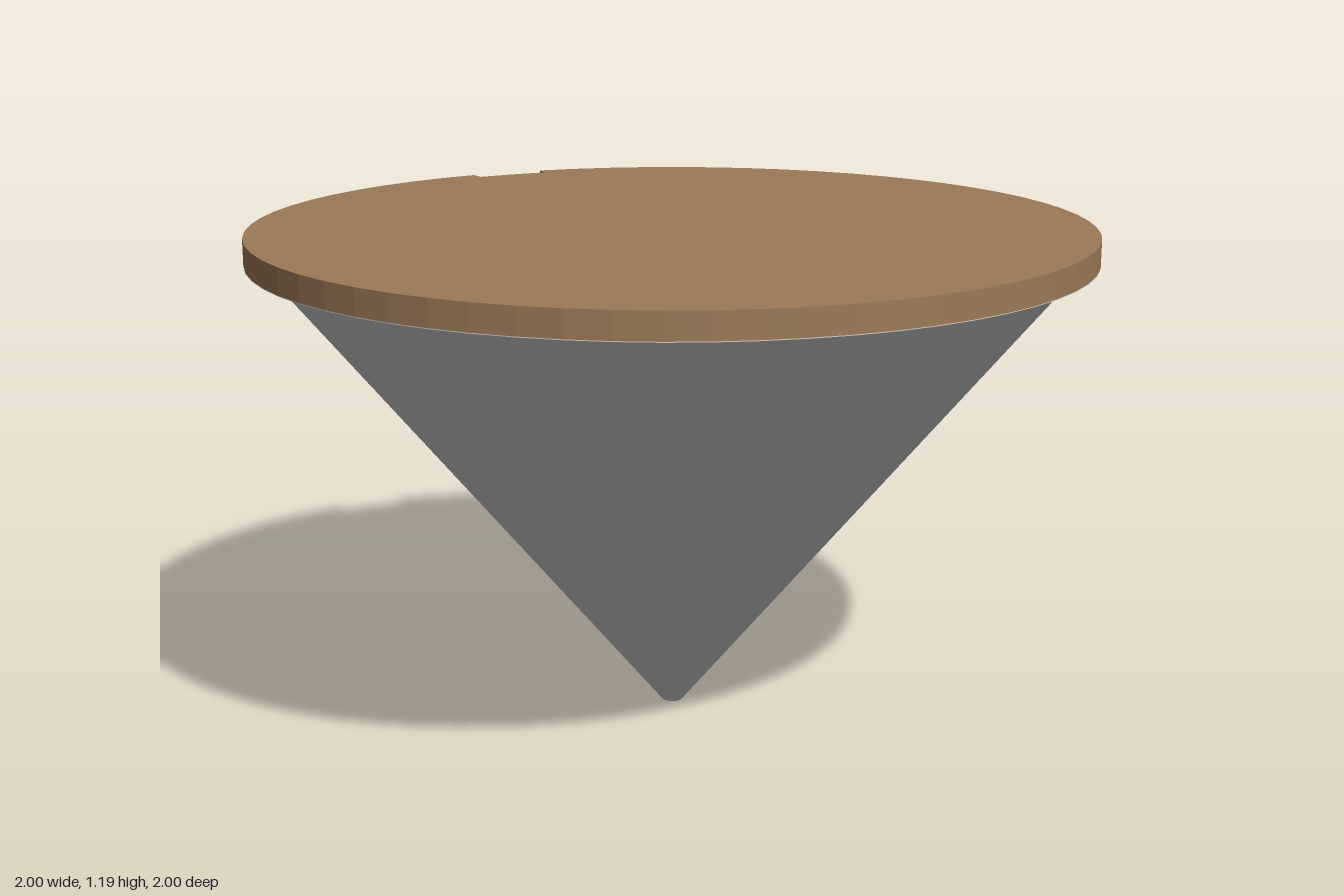
import * as THREE from 'three';

const SIDES = 64;
const RIM_Y = 1.123, TOP_Y = 1.187, SKIN = 0.002;

// Give every face its own normals for crisp facets
function faceted(geometry) {
  const g = geometry.index ? geometry.toNonIndexed() : geometry;
  g.computeVertexNormals();
  return g;
}

export function createModel() {
  const group = new THREE.Group();
  const grey = new THREE.MeshStandardMaterial({ color: 0xcccccc });
  grey.name = 'light grey';
  const brown = new THREE.MeshStandardMaterial({ color: 0x9d7a57 });
  brown.name = 'wood brown';

  // Truncated cone with a thin flange under the lid
  const profile = [[0, 0], [0.025, 0], [0.955, RIM_Y], [1, RIM_Y], [1, RIM_Y + SKIN], [0, RIM_Y + SKIN]];
  const cone = new THREE.Mesh(
    faceted(new THREE.LatheGeometry(profile.map(([r, y]) => new THREE.Vector2(r, y)), SIDES)), grey);
  cone.name = 'coneWithFlange';
  group.add(cone);

  // Round lid with a two-segment notch at the back of the rim
  const points = [];
  const add = (i, r) => {
    const a = (i / SIDES) * Math.PI * 2;
    points.push(new THREE.Vector2(-r * Math.sin(a), r * Math.cos(a)));
  };
  for (let i = 0; i < SIDES; i++) {
    if (i === 2) add(i, 1);
    add(i, i >= 2 && i <= 4 ? 0.96 : 1);
    if (i === 4) add(i, 1);
  }
  const lidGeometry = new THREE.ExtrudeGeometry(new THREE.Shape(points), {
    depth: TOP_Y - RIM_Y - SKIN, bevelEnabled: false,
  });
  lidGeometry.rotateX(-Math.PI / 2).translate(0, RIM_Y + SKIN, 0);
  const lid = new THREE.Mesh(faceted(lidGeometry), brown);
  lid.name = 'notchedLid';
  group.add(lid);

  return group;
}
